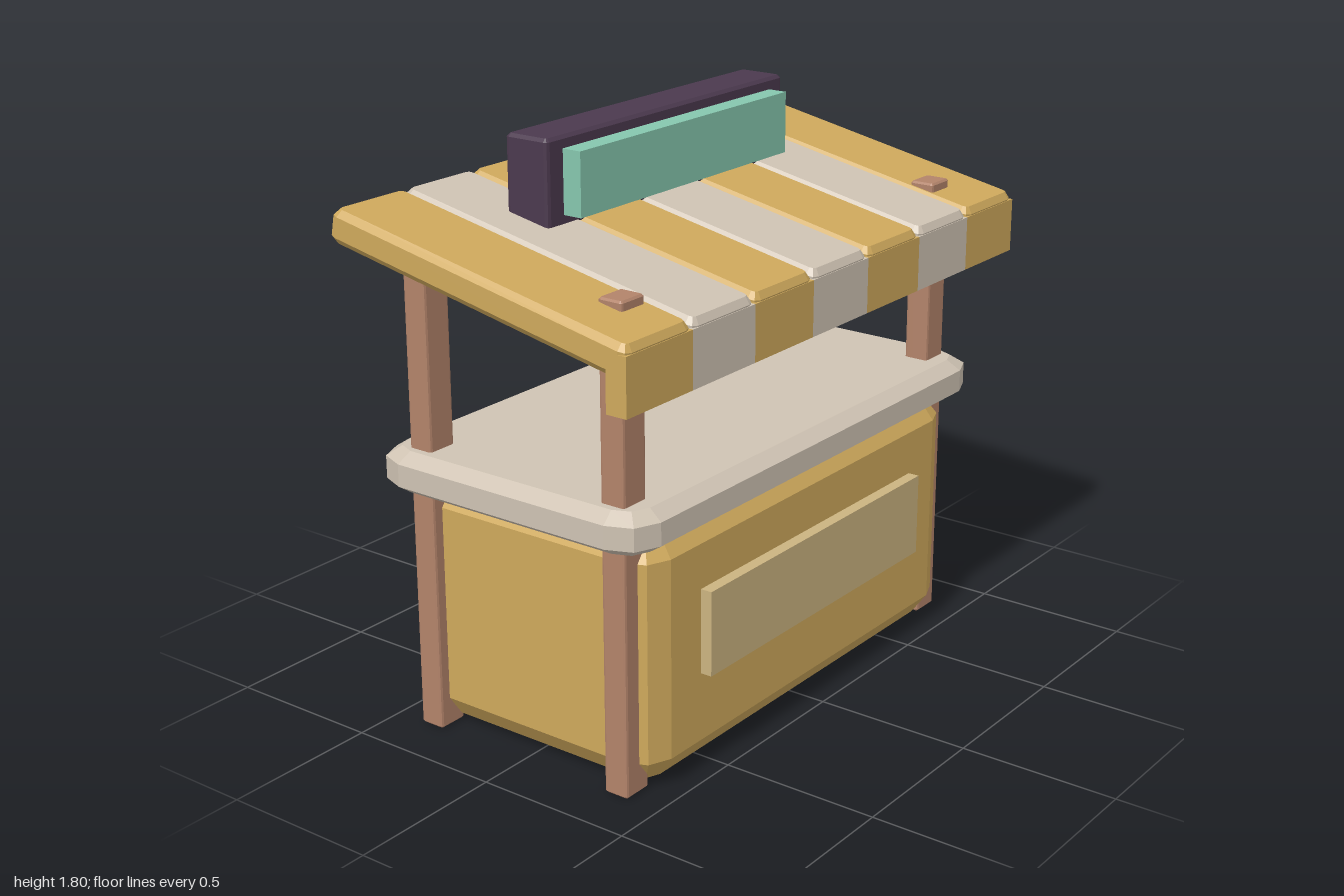
import * as THREE from 'three';

function makeMaterial(name, color) {
  const m = new THREE.MeshStandardMaterial({ color });
  m.name = name;
  return m;
}

// Box with two-facet upright corners (radius r) and chamfered top and bottom rims
function chamferBox(w, h, d, r, inset, rise) {
  const hw = w / 2 - inset, hd = d / 2 - inset, c = Math.max(r - inset, 0.004);
  const points = [];
  [[1, 1], [-1, 1], [-1, -1], [1, -1]].forEach(([sx, sy], corner) => {
    for (let i = 0; i <= 2; i++) {
      const a = (corner + i / 2) * Math.PI / 2;
      points.push(new THREE.Vector2(
        sx * (hw - c) + c * Math.cos(a), sy * (hd - c) + c * Math.sin(a)));
    }
  });
  const geo = new THREE.ExtrudeGeometry(new THREE.Shape(points), {
    depth: h - 2 * rise, bevelEnabled: true, bevelSegments: 1,
    bevelSize: inset, bevelThickness: rise,
  });
  geo.translate(0, 0, -(h - 2 * rise) / 2);
  geo.rotateX(-Math.PI / 2);
  return geo;
}

export function createModel() {
  const model = new THREE.Group();
  model.name = 'marketStall';

  const gold = makeMaterial('gold', 0xcfa95c);
  const cream = makeMaterial('cream', 0xcfc3b3);
  const wood = makeMaterial('wood', 0xb2836a);
  const plum = makeMaterial('plum', 0x4b394e);
  const teal = makeMaterial('teal', 0x86c6ae);
  const tan = makeMaterial('tan', 0xcbb380);

  function add(name, geo, mat, x, y, z, parent = model) {
    const mesh = new THREE.Mesh(geo, mat);
    mesh.name = name;
    mesh.position.set(x, y, z);
    parent.add(mesh);
    return mesh;
  }

  // Stall body, front panel and counter
  add('body', chamferBox(1.6, 0.76, 0.91, 0.11, 0.05, 0.07), gold, 0, 0.4, -0.01);
  add('frontPanel', new THREE.BoxGeometry(1.12, 0.265, 0.05), tan, 0, 0.438, 0.457);
  add('counter', chamferBox(1.81, 0.13, 0.985, 0.12, 0.045, 0.03), cream, 0, 0.828, -0.008);

  // Four posts
  const postGeo = chamferBox(0.1, 1.48, 0.082, 0.01, 0.006, 0.006);
  for (const [side, x] of [['left', 0.786], ['right', -0.788]]) {
    add(side + 'FrontPost', postGeo, wood, x, 0.74, 0.35);
    add(side + 'BackPost', postGeo, wood, x, 0.74, -0.362);
  }

  // Sloping striped awning with a hanging front valance
  const awning = new THREE.Group();
  awning.name = 'awning';
  awning.position.set(0, 1.476, 0.003);
  awning.rotation.x = Math.atan(0.196);
  model.add(awning);
  const stripe = 2 / 7;
  const slatGeo = chamferBox(stripe, 0.102, 1.065, 0.03, 0.016, 0.02);
  const flapGeo = new THREE.BoxGeometry(stripe, 0.17, 0.068);
  for (let i = 0; i < 7; i++) {
    const x = (i - 3) * stripe;
    const mat = i % 2 ? cream : gold;
    add('awningStripe' + (i + 1), slatGeo, mat, x, 0, 0, awning);
    add('valanceFlap' + (i + 1), flapGeo, mat, x, 1.315, 0.499);
  }

  // Sign board with its raised face
  add('signBoard', chamferBox(1.15, 0.265, 0.154, 0.015, 0.01, 0.01), plum, -0.002, 1.668, -0.156);
  add('signFace', new THREE.BoxGeometry(1.012, 0.193, 0.075), teal, -0.002, 1.667, -0.053);

  return model;
}
